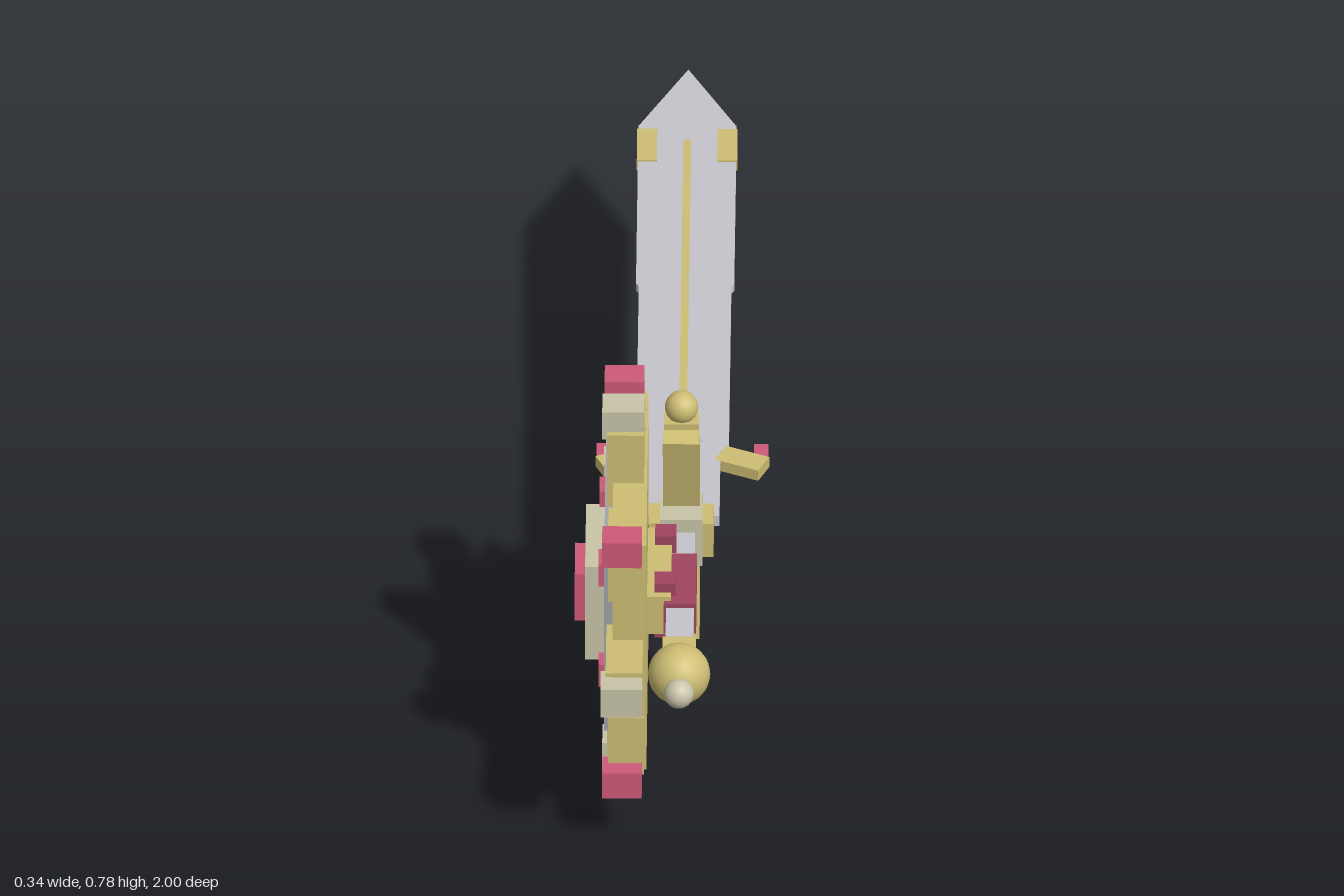
import * as THREE from 'three';

const mat = (name, color, extra = {}) => {
  const m = new THREE.MeshStandardMaterial({ color, ...extra });
  m.name = name;
  return m;
};

export function createModel() {
  const gold = mat('gold', 0xcdbd73);
  const cream = mat('cream', 0xc9c5a9);
  const pink = mat('pink', 0xcd5a78);
  const darkPink = mat('darkPink', 0xa04560);
  const steel = mat('steel', 0xc3c4ca);
  const plateGrey = mat('plateGrey', 0xa2a3a9);

  const model = new THREE.Group();
  model.name = 'swordAndShield';
  const sword = new THREE.Group();
  sword.name = 'sword';
  const shield = new THREE.Group();
  shield.name = 'shield';
  model.add(sword, shield);

  const add = (parent, name, geometry, material) => {
    const mesh = new THREE.Mesh(geometry, material);
    mesh.name = name;
    parent.add(mesh);
    return mesh;
  };
  // box given by its lower and upper limits on each axis
  const box = (parent, name, material, [x0, x1], [y0, y1], [z0, z1]) => {
    const mesh = add(parent, name, new THREE.BoxGeometry(x1 - x0, y1 - y0, z1 - z0), material);
    mesh.position.set((x0 + x1) / 2, (y0 + y1) / 2, (z0 + z1) / 2);
    return mesh;
  };
  const ball = (parent, name, material, r, x, y, z) =>
    add(parent, name, new THREE.SphereGeometry(r, 20, 14), material).position.set(x, y, z);
  const around = (c, h) => [c - h, c + h];

  const CX = 0.016, CY = 0.389; // sword axis
  const SZ = 0.614;             // shield centre in z

  // ---- blade: pointed outline lying flat ----
  const outline = new THREE.Shape(
    [[-0.083, -0.21], [0.083, -0.21], [0.083, 0.31], [0.088, 0.32], [0.088, 0.82],
      [-0.088, 0.82], [-0.088, 0.32], [-0.083, 0.31]].map(p => new THREE.Vector2(...p)));
  const bladeGeo = new THREE.ExtrudeGeometry(outline, { depth: 0.016, bevelEnabled: false });
  bladeGeo.rotateX(-Math.PI / 2);
  add(sword, 'blade', bladeGeo, steel).position.set(CX, CY - 0.008, 0);

  const tip = new THREE.Shape([[-0.088, 0.82], [0.088, 0.82], [0, 1]].map(p => new THREE.Vector2(...p)));
  const tipGeo = new THREE.ExtrudeGeometry(tip, { depth: 0.012, bevelEnabled: false });
  tipGeo.rotateX(-Math.PI / 2);
  add(sword, 'bladeTip', tipGeo, steel).position.set(CX, CY - 0.006, 0);

  box(sword, 'bladeRoot', steel, [-0.066, 0.084], around(CY, 0.011), [0.2, 0.42]);
  box(sword, 'fuller', steel, around(CX, 0.036), around(CY, 0.0095), [-0.79, 0.18]);
  box(sword, 'centreStripe', gold, around(CX, 0.007), around(CY, 0.0115), [-0.77, 0.16]);

  for (const s of [-1, 1]) {
    // gold plates on the blade edges
    box(sword, 'edgePlate', gold, around(CX + s * 0.072, 0.018), around(CY, 0.011), [-0.805, -0.705]);
    // angled hooks with pink points
    const hook = add(sword, 'bladeHook', new THREE.BoxGeometry(0.085, 0.022, 0.048), gold);
    hook.position.set(CX + s * 0.107, CY, 0.237);
    hook.rotation.y = -s * 0.42;
    box(sword, 'hookPoint', pink, around(CX + s * 0.141, 0.013), around(CY, 0.01), [0.19, 0.235]);
  }

  // ---- guard ----
  box(sword, 'guardBlock', gold, [-0.042, 0.074], [0.355, 0.427], [0.42, 0.485]);
  box(sword, 'guardCore', cream, around(CX, 0.038), around(CY, 0.05), [0.405, 0.49]);
  for (const s of [-1, 1]) {
    const arm = add(sword, 'guardArm', new THREE.BoxGeometry(0.066, 0.172, 0.034), gold);
    arm.position.set(CX, CY + s * 0.132, 0.449);
    arm.rotation.x = s * 0.24;
    box(sword, 'guardEnd', gold, around(CX, 0.031), around(CY + s * 0.183, 0.033), [0.39, 0.43]);
    ball(sword, 'guardBall', gold, 0.03, CX, CY + s * 0.235, 0.402);
  }

  // ---- handle ----
  box(sword, 'handle', steel, around(CX, 0.025), around(CY, 0.023), [0.42, 0.86]);
  box(sword, 'grip', darkPink, around(CX, 0.029), around(CY, 0.032), [0.57, 0.73]);
  box(sword, 'pommelCollar', gold, around(CX, 0.03), around(CY, 0.03), [0.83, 0.865]);
  ball(sword, 'pommel', gold, 0.056, CX, CY, 0.904);
  ball(sword, 'pommelCap', cream, 0.027, CX, CY, 0.967);

  // ---- shield body ----
  box(shield, 'shieldBody', gold, [-0.104, -0.043], around(CY, 0.243), around(SZ, 0.24));
  box(shield, 'facePlate', plateGrey, [-0.119, -0.1], around(CY, 0.193), around(SZ, 0.19));
  box(shield, 'boss', cream, [-0.154, -0.115], around(CY, 0.1), around(SZ, 0.1));
  box(shield, 'bossGem', pink, [-0.173, -0.15], around(CY, 0.05), around(SZ, 0.05));

  for (const s of [-1, 1]) {
    // arms of the cross and their end caps
    box(shield, 'verticalArm', gold, [-0.115, -0.049], around(CY + s * 0.238, 0.108), around(SZ, 0.042));
    box(shield, 'verticalCap', cream, [-0.124, -0.049], around(CY + s * 0.359, 0.0295), around(SZ, 0.03));
    box(shield, 'sideArm', gold, [-0.115, -0.049], around(CY, 0.038), around(SZ + s * 0.238, 0.108));
    box(shield, 'sideCap', cream, [-0.124, -0.049], around(CY, 0.03), around(SZ + s * 0.3565, 0.0295));
    for (const t of [-1, 1]) {
      box(shield, 'cornerBlock', gold, [-0.112, -0.047], around(CY + s * 0.187, 0.061), around(SZ + t * 0.187, 0.061));
      box(shield, 'cornerGem', pink, [-0.122, -0.051], around(CY + s * 0.25, 0.027), around(SZ + t * 0.255, 0.027));
      box(shield, 'plateStud', pink, [-0.13, -0.115], around(CY + s * 0.109, 0.024), around(SZ + t * 0.115, 0.024));
    }
  }

  // ---- bracket joining shield and handle ----
  box(shield, 'bracket', gold, [-0.046, 0.0], around(CY, 0.04), [0.5, 0.72]);
  for (const z of [0.535, 0.685])
    box(shield, 'bracketStud', darkPink, [-0.03, 0.008], around(CY, 0.058), around(z, 0.02));

  return model;
}
